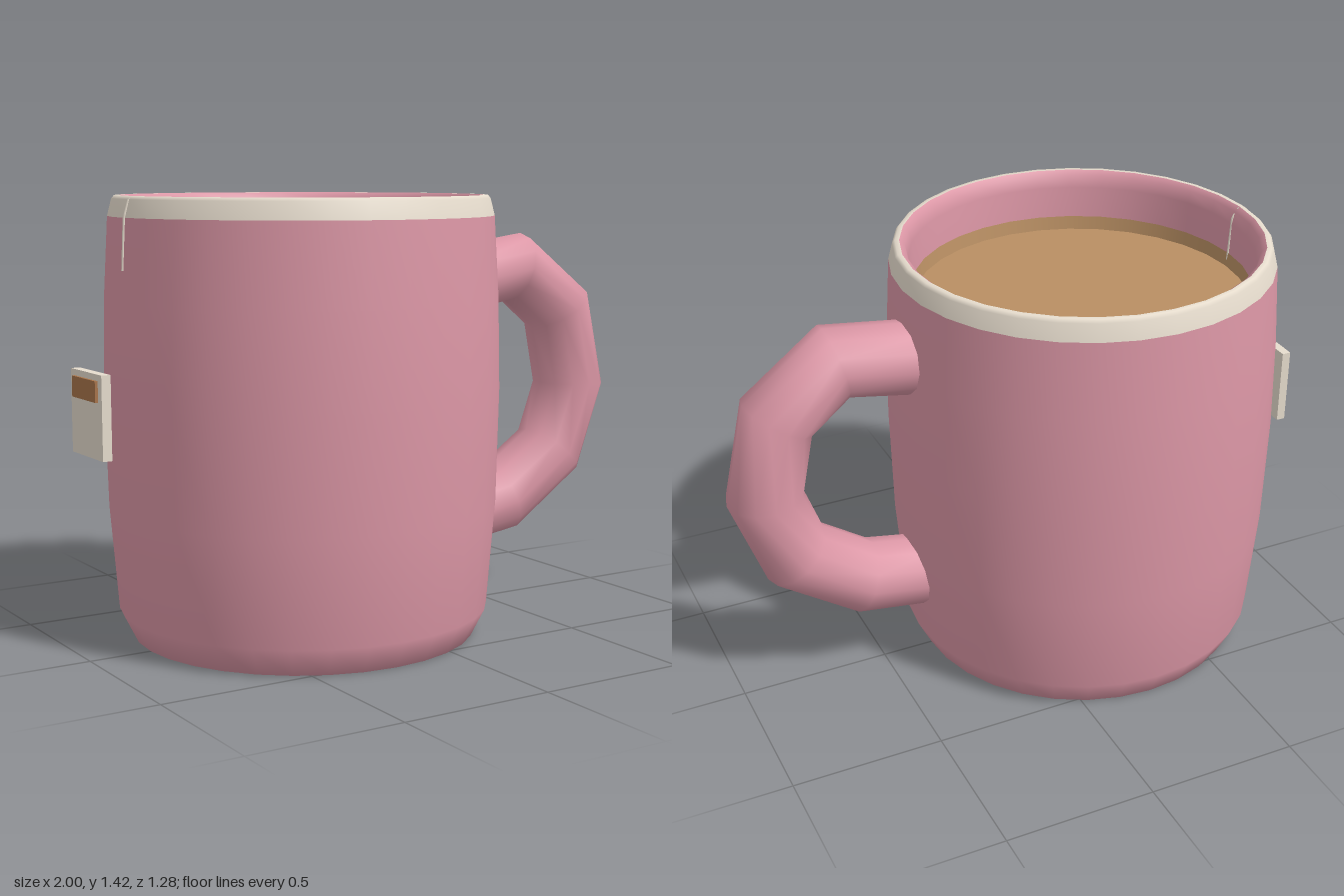
import * as THREE from 'three';

const MUG_X = -0.235;

function makeMaterial(name, color, side = THREE.FrontSide) {
  const m = new THREE.MeshStandardMaterial({ color, side });
  m.name = name;
  return m;
}

const v2 = (list) => list.map(([x, y]) => new THREE.Vector2(x, y));

// Tube through paired outer and inner outline points, with an elliptical section
function handleGeometry(outer, inner, halfWidth, sides) {
  const pos = [], index = [];
  outer.forEach(([ox, oy], r) => {
    const [ix, iy] = inner[r];
    for (let s = 0; s < sides; s++) {
      const a = (s / sides) * Math.PI * 2;
      const t = (1 + Math.cos(a)) / 2;
      pos.push(ix + (ox - ix) * t, iy + (oy - iy) * t, Math.sin(a) * halfWidth);
      if (r < outer.length - 1) {
        const n = (s + 1) % sides;
        const p = r * sides + s, q = r * sides + n;
        index.push(p, q, p + sides, q, q + sides, p + sides);
      }
    }
  });
  const g = new THREE.BufferGeometry();
  g.setAttribute('position', new THREE.Float32BufferAttribute(pos, 3));
  g.setIndex(index);
  g.computeVertexNormals();
  return g;
}

export function createModel() {
  const model = new THREE.Group();
  model.name = 'mug';
  const pink = makeMaterial('pinkGlaze', 0xdc97a6, THREE.DoubleSide);
  const cream = makeMaterial('cream', 0xe6dccd);
  const tea = makeMaterial('milkyTea', 0xb98f63);
  const brown = makeMaterial('labelBrown', 0xa8744a);

  const add = (name, geometry, material, x = 0, y = 0, z = 0) => {
    const mesh = new THREE.Mesh(geometry, material);
    mesh.name = name;
    mesh.position.set(x, y, z);
    model.add(mesh);
    return mesh;
  };
  const lathe = (name, points, material) =>
    add(name, new THREE.LatheGeometry(v2(points), 32), material, MUG_X);

  // Mug body, cream rim and inner wall
  lathe('body', [[0, 0.006], [0.5, 0.005], [0.56, 0], [0.605, 0.09], [0.632, 0.43],
    [0.641, 0.8], [0.635, 1.1], [0.62, 1.36]], pink);
  lathe('rim', [[0.62, 1.36], [0.606, 1.415], [0.597, 1.425], [0.583, 1.425]], cream);
  lathe('innerWall', [[0.583, 1.425], [0.566, 1.41], [0.556, 1.37], [0.55, 1.2]], pink);

  // Pale unglazed disc under the base
  add('baseDisc', new THREE.CircleGeometry(0.3, 32), cream, MUG_X, 0.001).rotation.x = Math.PI / 2;

  // Drink with a low edge against the wall
  add('drink', new THREE.CircleGeometry(0.545, 32), tea, MUG_X, 1.22).rotation.x = -Math.PI / 2;
  lathe('drinkEdge', [[0.55, 1.265], [0.543, 1.22]], tea);

  // Faceted loop handle
  const outer = [[0.34, 1.243], [0.65, 1.285], [0.92, 1.08], [0.997, 0.74],
    [0.885, 0.43], [0.61, 0.24], [0.34, 0.2]];
  const inner = [[0.34, 1.003], [0.59, 1.05], [0.71, 0.95], [0.75, 0.75],
    [0.69, 0.585], [0.52, 0.47], [0.34, 0.435]];
  add('handle', handleGeometry(outer, inner, 0.126, 12), pink);

  // Thin string over the rim
  const string = new THREE.CurvePath();
  const path = [[-0.784, 1.24], [-0.793, 1.39], [-0.818, 1.423], [-0.84, 1.418],
    [-0.857, 1.36], [-0.865, 1.2]].map(([x, y]) => new THREE.Vector3(x, y, 0));
  for (let i = 1; i < path.length; i++) string.add(new THREE.LineCurve3(path[i - 1], path[i]));
  add('string', new THREE.TubeGeometry(string, 30, 0.004, 6), cream);

  // Tag with a painted bar
  add('tag', new THREE.BoxGeometry(0.03, 0.26, 0.23), cream, -0.975, 0.77, -0.005);
  add('tagBar', new THREE.BoxGeometry(0.0095, 0.065, 0.175), brown, -0.9945, 0.848, -0.005);

  return model;
}
